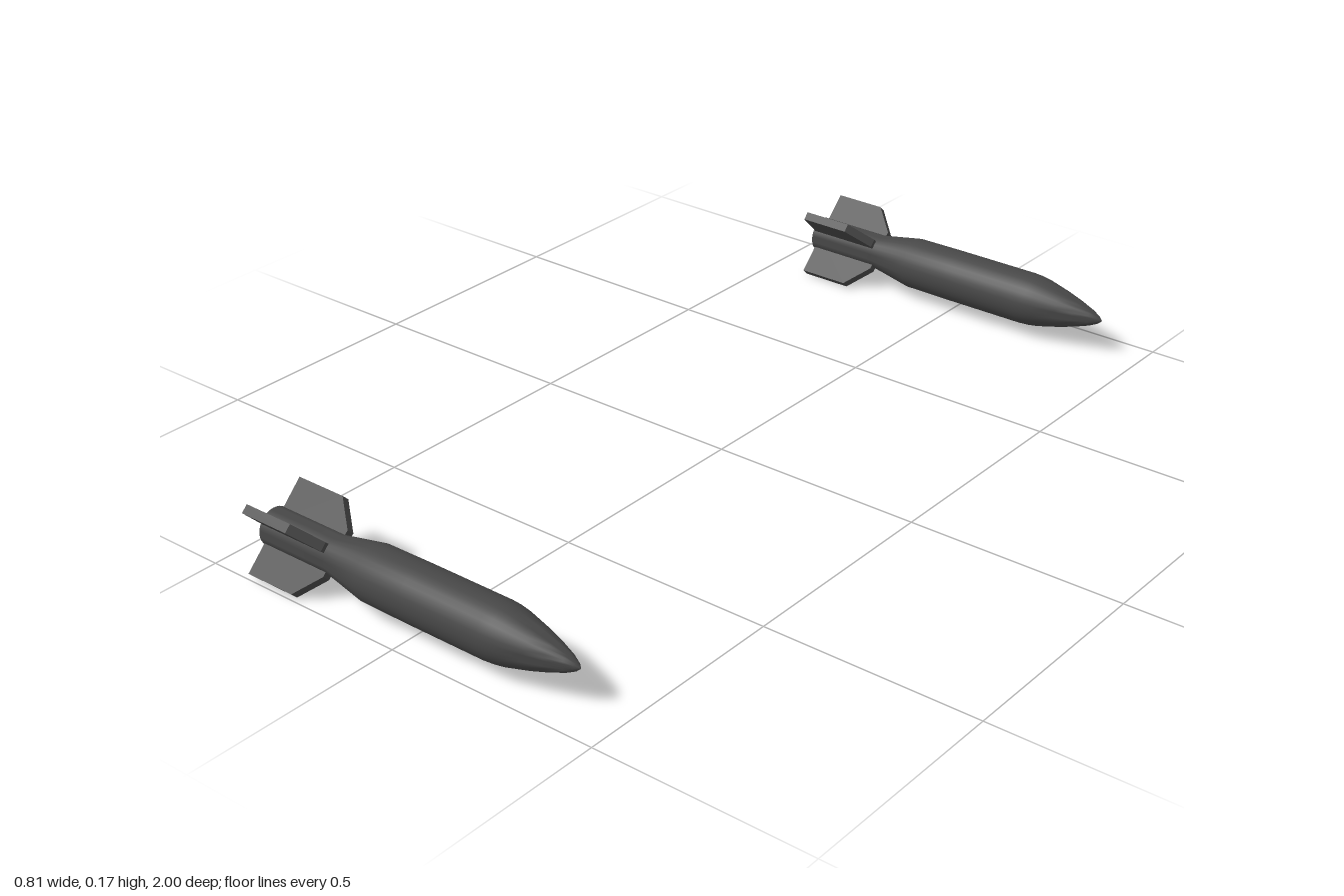
import * as THREE from 'three';
import { toCreasedNormals } from 'three/addons/utils/BufferGeometryUtils.js';

const material = new THREE.MeshStandardMaterial({ color: 0x474747 });

// Body profile: [distance along the axis, radius], tail to nose
const profile = [
  [-0.405, 0], [-0.405, 0.042], [-0.225, 0.042], [-0.12, 0.061], [0, 0.062], [0.2, 0.062],
  [0.222, 0.0605], [0.245, 0.057], [0.3, 0.0435], [0.34, 0.0315], [0.375, 0.019],
  [0.395, 0.009], [0.405, 0],
];

function bodyGeometry() {
  const points = profile.map(([along, radius]) => new THREE.Vector2(radius, along));
  const geometry = new THREE.LatheGeometry(points, 32);
  geometry.rotateZ(-Math.PI / 2);
  return toCreasedNormals(geometry, 0.5);
}

// Flat fin with a swept leading edge, rooted inside the tail
function finGeometry() {
  const thickness = 0.02;
  const shape = new THREE.Shape([
    [-0.4, 0.01], [-0.225, 0.01], [-0.225, 0.051], [-0.277, 0.108], [-0.4, 0.108],
  ].map(([x, y]) => new THREE.Vector2(x, y)));
  const geometry = new THREE.ExtrudeGeometry(shape, { depth: thickness, bevelEnabled: false });
  return geometry.translate(0, 0, -thickness / 2);
}

function createBomb() {
  const bomb = new THREE.Group();
  const body = new THREE.Mesh(bodyGeometry(), material);
  body.name = 'body';
  bomb.add(body);

  // Four tail fins in an X arrangement
  const geometry = finGeometry();
  for (let i = 0; i < 4; i++) {
    const fin = new THREE.Mesh(geometry, material);
    fin.name = `tailFin${i + 1}`;
    fin.rotation.x = Math.PI / 4 + (i * Math.PI) / 2;
    bomb.add(fin);
  }
  return bomb;
}

export function createModel() {
  const model = new THREE.Group();
  model.name = 'bombPair';
  for (const side of [1, -1]) {
    const bomb = createBomb();
    bomb.name = side > 0 ? 'frontBomb' : 'rearBomb';
    bomb.position.set(0, 0.0835, side * 0.9165);
    model.add(bomb);
  }
  return model;
}
